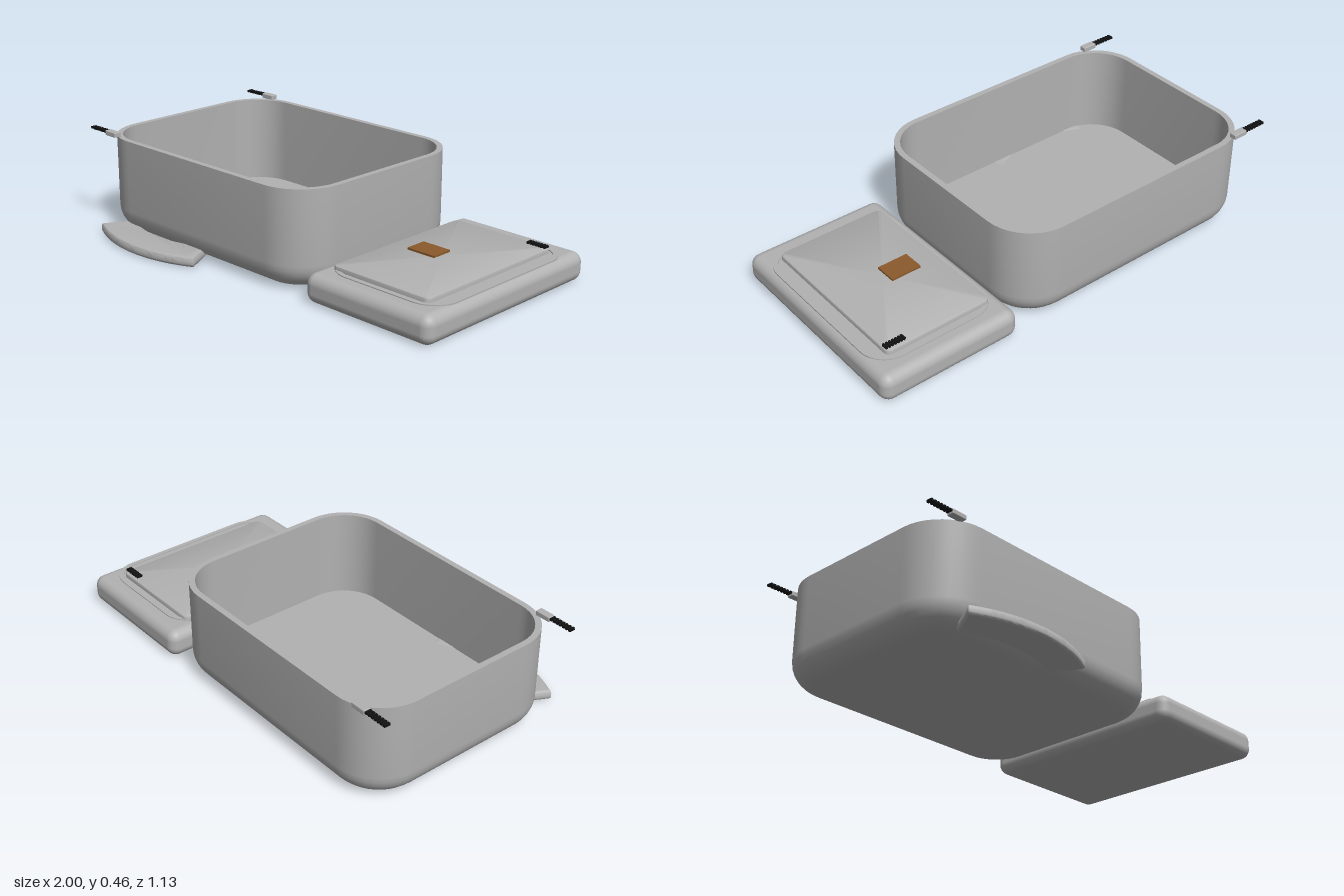
import * as THREE from 'three';
import { toCreasedNormals } from 'three/addons/utils/BufferGeometryUtils.js';
import { RoundedBoxGeometry } from 'three/addons/geometries/RoundedBoxGeometry.js';

// Stacks rounded rectangles along a profile of [inset, y] pairs and closes both ends.
function loft(w, d, r, profile) {
  const pos = [], idx = [], seg = 10, n = 4 * (seg + 1);
  const corners = [[1, 1], [-1, 1], [-1, -1], [1, -1]];
  for (const [inset, y] of profile) {
    const rad = Math.max(r - inset, 0.002);
    corners.forEach(([sx, sz], c) => {
      for (let i = 0; i <= seg; i++) {
        const a = (c + i / seg) * Math.PI / 2;
        pos.push(sx * (w / 2 - inset - rad) + rad * Math.cos(a), y,
          sz * (d / 2 - inset - rad) + rad * Math.sin(a));
      }
    });
  }
  const last = profile.length - 1, c0 = n * profile.length, c1 = c0 + 1;
  pos.push(0, profile[0][1], 0, 0, profile[last][1], 0);
  for (let i = 0; i < n; i++) {
    const j = (i + 1) % n;
    for (let k = 0; k < last; k++) {
      const a = k * n + i, b = k * n + j;
      idx.push(a, a + n, b, b, a + n, b + n);
    }
    idx.push(c0, i, j, c1, last * n + j, last * n + i);
  }
  const g = new THREE.BufferGeometry();
  g.setAttribute('position', new THREE.Float32BufferAttribute(pos, 3));
  g.setIndex(idx);
  return toCreasedNormals(g, 0.6);
}

// Flat outline of a rounded rectangle, used for the seal
function roundedRect(Type, w, d, r) {
  const p = new Type(), x = w / 2 - r, y = d / 2 - r;
  p.absarc(x, y, r, 0, Math.PI / 2);
  p.absarc(-x, y, r, Math.PI / 2, Math.PI);
  p.absarc(-x, -y, r, Math.PI, Math.PI * 1.5);
  p.absarc(x, -y, r, Math.PI * 1.5, Math.PI * 2);
  p.closePath();
  return p;
}

export function createModel() {
  const group = new THREE.Group();
  const material = (name, color) => {
    const m = new THREE.MeshStandardMaterial({ color });
    m.name = name;
    return m;
  };
  const grey = material('grey', 0xb2b2b2);
  const brown = material('brown', 0x8b5a2b);
  const black = material('black', 0x111111);

  const add = (name, geometry, mat, x, y, z, parent = group) => {
    const mesh = new THREE.Mesh(geometry, mat);
    mesh.name = name;
    mesh.position.set(x, y, z);
    parent.add(mesh);
    return mesh;
  };

  // Open tub with a rounded base, vertical inner walls and a flat floor
  const profile = [], fillet = 0.11;
  for (let i = 0; i <= 7; i++) {
    const a = i / 7 * Math.PI / 2;
    profile.push([fillet * (1 - Math.sin(a)), fillet * (1 - Math.cos(a))]);
  }
  profile.push([0, 0.435], [0.026, 0.435], [0.026, 0.042]);
  add('tub', loft(1.29, 0.98, 0.21, profile), grey, -0.3, 0, -0.075);

  // Lid lying beside the tub
  add('lid', new RoundedBoxGeometry(0.645, 0.125, 0.98, 5, 0.045), grey, 0.6775, 0.0625, -0.075);

  // Thin seal around the lid panel
  const ring = roundedRect(THREE.Shape, 0.585, 0.83, 0.12);
  ring.holes.push(roundedRect(THREE.Path, 0.545, 0.79, 0.1));
  const sealGeometry = new THREE.ExtrudeGeometry(ring, { depth: 0.006, bevelEnabled: false, curveSegments: 8 });
  sealGeometry.rotateX(-Math.PI / 2);
  add('lidSeal', sealGeometry, grey, 0.682, 0.123, -0.075);

  // Raised panel
  add('lidPanel', loft(0.495, 0.765, 0.025,
    [[0, 0.12], [0, 0.138], [0.002, 0.143], [0.008, 0.146]]), grey, 0.66, 0, -0.072);

  // Brown plate on the lid
  add('lidPlate', new THREE.BoxGeometry(0.14, 0.009, 0.1), brown, 0.58, 0.15, -0.075);

  // Toothed black strip running along x
  const strip = (name, length, x, y, z) => {
    const g = new THREE.Group();
    g.name = name;
    g.position.set(x, y, z);
    group.add(g);
    add('stripBase', new THREE.BoxGeometry(length, 0.006, 0.022), black, 0, 0, 0, g);
    const teeth = 7, pitch = length / teeth;
    for (let i = 0; i < teeth; i++) {
      add('tooth', new THREE.BoxGeometry(pitch * 0.6, 0.01, 0.027), black,
        (i + 0.5) * pitch - length / 2, 0, 0, g);
    }
  };
  strip('lidStrip', 0.095, 0.858, 0.153, -0.428);

  // Holders and strips at the two side corners of the rim
  for (const z of [-0.549, 0.4]) {
    add('stripHolder', new RoundedBoxGeometry(0.07, 0.022, 0.033, 2, 0.004), grey, -0.855, 0.444, z);
    strip('rimStrip', 0.112, -0.944, 0.447, z);
  }

  // Curved step in front of the tub
  const half = 0.494, mid = Math.PI / 2, bevel = 0.014;
  const arc = new THREE.Shape();
  arc.absarc(0, 0, 0.67, mid - half, mid + half, false);
  arc.absarc(0, 0, 0.515, mid + half, mid - half, true);
  arc.closePath();
  const stepGeometry = new THREE.ExtrudeGeometry(arc, {
    depth: 0.044 - 2 * bevel, bevelThickness: bevel, bevelSize: bevel, bevelOffset: -bevel,
    bevelSegments: 4, curveSegments: 20,
  });
  stepGeometry.rotateX(Math.PI / 2);
  add('frontStep', toCreasedNormals(stepGeometry, 0.6), grey, -0.545, 0.044 - bevel, -0.11);

  return group;
}
